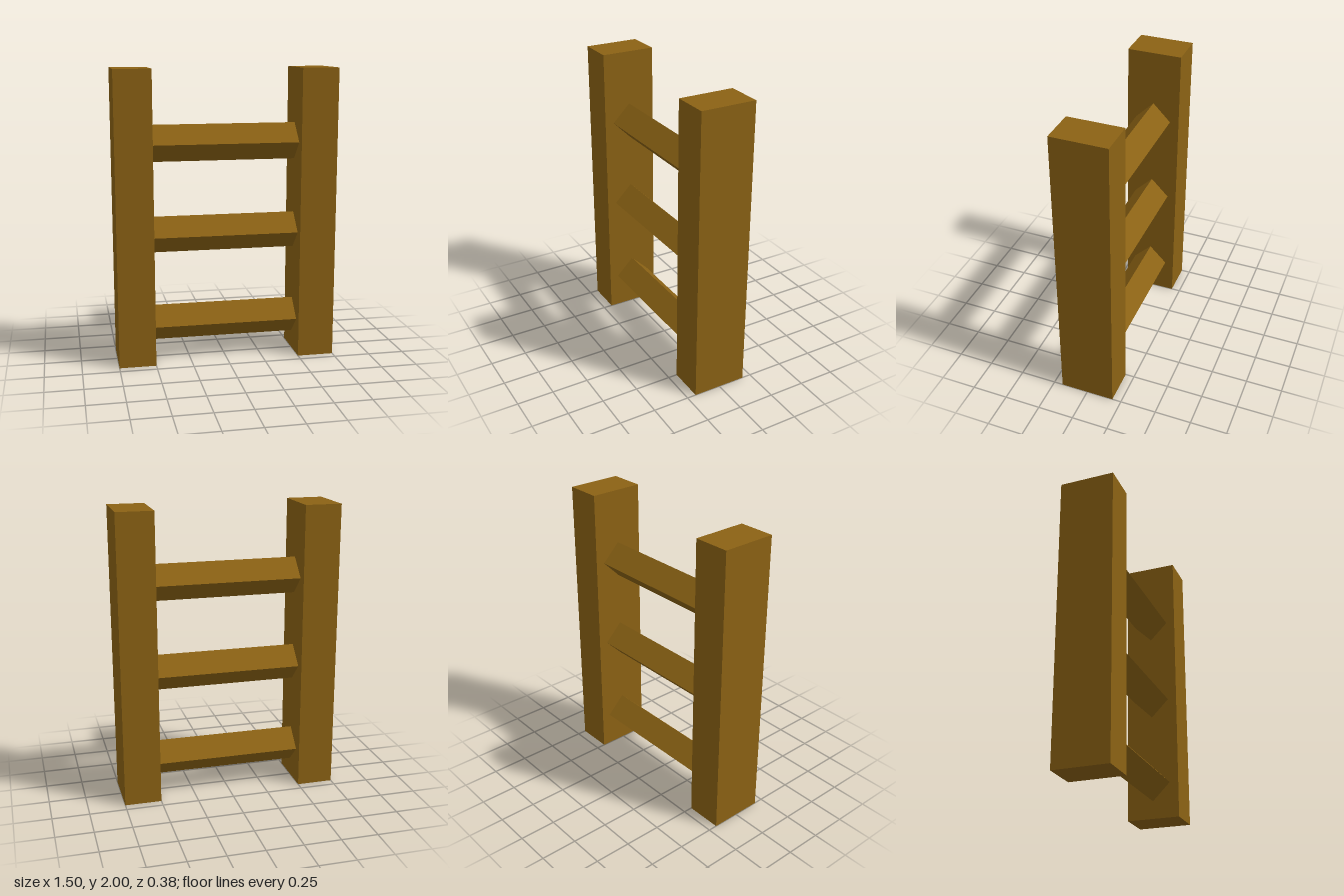
import * as THREE from 'three';

export function createModel() {
  const group = new THREE.Group();
  group.name = 'ladder';
  const wood = new THREE.MeshStandardMaterial({ color: 0x8b6214, flatShading: true });

  // Two upright square-cut side rails
  const railGeometry = new THREE.BoxGeometry(0.25, 2, 0.375);
  for (const side of [-1, 1]) {
    const rail = new THREE.Mesh(railGeometry, wood);
    rail.name = side > 0 ? 'leftRail' : 'rightRail';
    rail.position.set(side * 0.625, 1, 0);
    group.add(rail);
  }

  // Three rungs with a diamond section, lying along x between the rails
  const rungGeometry = new THREE.CylinderGeometry(0.125, 0.125, 1, 4).rotateZ(Math.PI / 2);
  ['lowerRung', 'middleRung', 'upperRung'].forEach((name, i) => {
    const rung = new THREE.Mesh(rungGeometry, wood);
    rung.name = name;
    rung.position.y = 0.25 + i * 0.625;
    group.add(rung);
  });

  return group;
}
